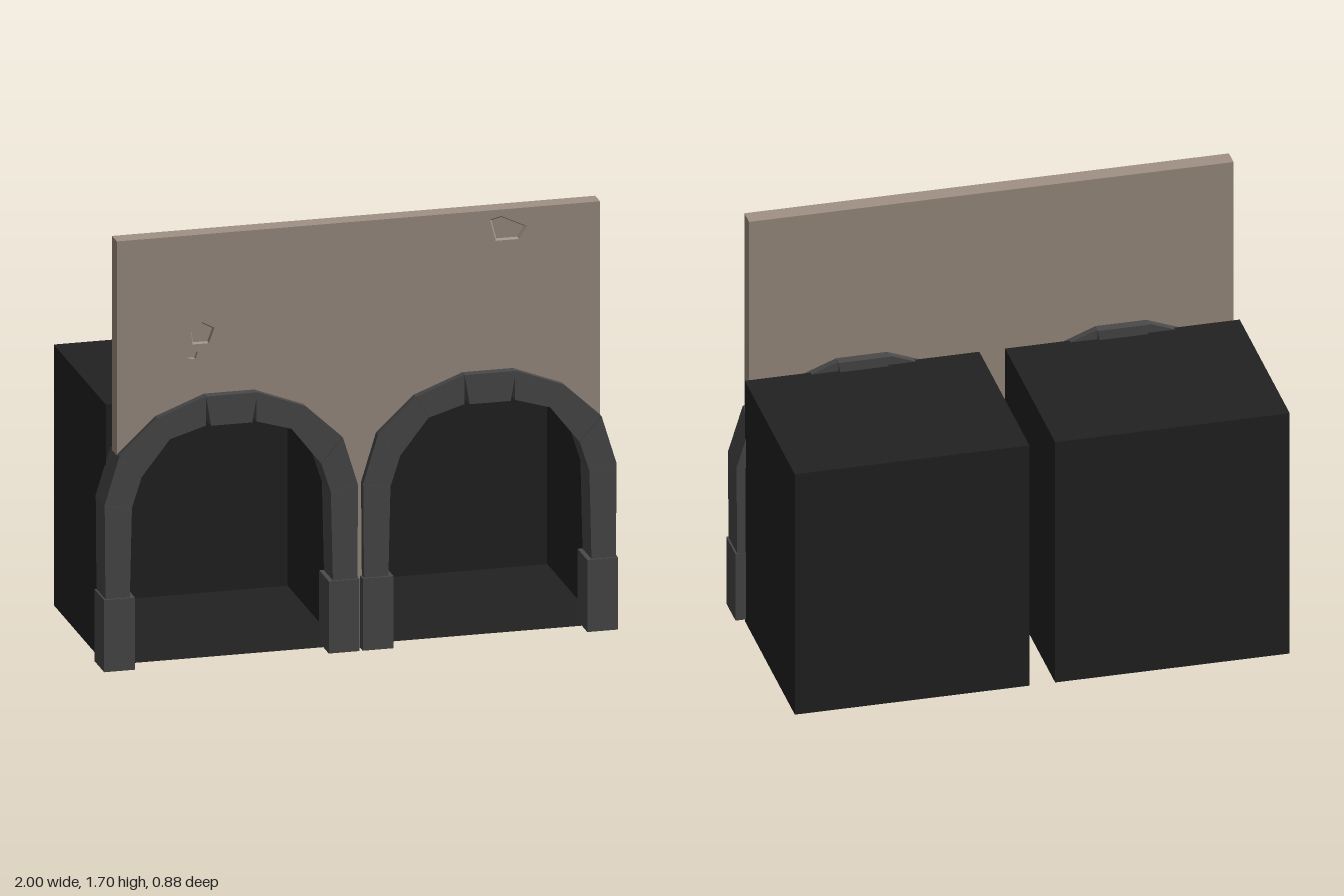
import * as THREE from 'three';

const wallMat = new THREE.MeshStandardMaterial({ name: 'plaster', color: 0xa09184, side: THREE.DoubleSide });
const stoneMat = new THREE.MeshStandardMaterial({ name: 'dark stone', color: 0x4a4a4a, side: THREE.DoubleSide });
const darkMat = new THREE.MeshStandardMaterial({ name: 'soot black', color: 0x222222, side: THREE.DoubleSide });

const CENTRE = 0.503; // arch centre distance from x = 0

function add(parent, name, geometry, material) {
  const mesh = new THREE.Mesh(geometry, material);
  mesh.name = name;
  parent.add(mesh);
  return mesh;
}

// box between two corners with one face left out (3 = bottom, 4 = front)
function openBox(min, max, face) {
  const size = max.map((v, i) => v - min[i]);
  const g = new THREE.BoxGeometry(...size);
  const index = Array.from(g.index.array);
  index.splice(face * 6, 6);
  g.setIndex(index);
  g.clearGroups();
  g.translate(...min.map((v, i) => v + size[i] / 2));
  return g;
}

// polygon in the xy plane extruded from z0 to z1
function prism(points, z0, z1, holes = []) {
  const shape = new THREE.Shape(points.map(p => new THREE.Vector2(...p)));
  for (const h of holes) shape.holes.push(new THREE.Path(h.map(p => new THREE.Vector2(...p))));
  const g = new THREE.ExtrudeGeometry(shape, { depth: z1 - z0, bevelEnabled: false });
  return g.translate(0, 0, z0);
}

// sloping rim from the wall face down to a chip's floor
function chipRim(points, z0, z1) {
  const cx = points.reduce((s, p) => s + p[0], 0) / points.length;
  const cy = points.reduce((s, p) => s + p[1], 0) / points.length;
  const inner = points.map(([x, y]) => [cx + (x - cx) * 0.87, cy + (y - cy) * 0.87]);
  const pos = [];
  points.forEach((a, i) => {
    const j = (i + 1) % points.length;
    const b = points[j], c = inner[j], d = inner[i];
    // corners run clockwise around the outline, so the slope faces forward
    pos.push(...a, z1, c, z0, b, z1, ...[]);
    pos.push(...a, z1, d, z0, c, z0);
  });
  const g = new THREE.BufferGeometry();
  g.setAttribute('position', new THREE.Float32BufferAttribute(pos.flat(), 3));
  g.computeVertexNormals();
  return g;
}

function buildArch(side) {
  const arch = new THREE.Group();
  arch.name = side > 0 ? 'leftArch' : 'rightArch';
  arch.position.x = side * CENTRE;

  // half outline of the ring: outer and inner points from the springing up
  const outer = [[0.493, 0.67], [0.435, 0.86], [0.288, 0.997], [0.098, 1.07]];
  const inner = [[0.387, 0.65], [0.35, 0.765], [0.235, 0.912], [0.098, 0.953]];
  const depths = [[0.30, 0.43], [0.315, 0.425], [0.30, 0.43]];

  for (const s of [1, -1]) {
    const m = ([x, y]) => [s * x, y];
    const xs = [s * 0.377, s * 0.497].sort((a, b) => a - b);
    add(arch, 'footStone', openBox([xs[0], 0.015, 0.30], [xs[1], 0.3, 0.44], 3), stoneMat);
    add(arch, 'pillarStone',
      prism([[0.395, 0.3], [0.49, 0.3], outer[0], inner[0]].map(m), 0.302, 0.432), stoneMat);
    depths.forEach(([z0, z1], i) => add(arch, 'archStone',
      prism([inner[i], outer[i], outer[i + 1], inner[i + 1]].map(m), z0, z1), stoneMat));
  }
  add(arch, 'keystone',
    prism([[-0.08, 0.953], [0.08, 0.953], [0.1, 1.07], [-0.1, 1.07]], 0.29, 0.437), stoneMat);
  // chamber behind the arch, open to the front
  add(arch, 'chamber', openBox([-0.455, 0, -0.44], [0.455, 1.03, 0.315], 4), darkMat)
    .position.x = side * 0.002;
  return arch;
}

function buildWall() {
  const wall = new THREE.Group();
  wall.name = 'wall';
  // right half of the outline: the top corner, over the arch, then down the middle pier
  const half = [[0.94, 1.7], [0.94, 0.78], [0.89, 0.84], [0.76, 0.955], [0.6, 1.01],
    [0.4, 1.01], [0.245, 0.955], [0.115, 0.81], [0.065, 0.65], [0.065, 0.02]];
  const outline = [...half, ...half.map(([x, y]) => [-x, y]).reverse()];
  const chips = [
    [[-0.609, 1.353], [-0.56, 1.327], [-0.582, 1.268], [-0.646, 1.268], [-0.651, 1.316]],
    [[-0.646, 1.246], [-0.625, 1.236], [-0.635, 1.209], [-0.662, 1.214], [-0.662, 1.23]],
    [[0.512, 1.663], [0.555, 1.674], [0.657, 1.626], [0.625, 1.578], [0.534, 1.578]],
  ];
  add(wall, 'wallSlab', prism(outline, 0.33, 0.388), wallMat);
  add(wall, 'wallFace', prism(outline, 0.388, 0.4, chips), wallMat);
  for (const c of chips) add(wall, 'chipRim', chipRim(c, 0.389, 0.4), wallMat);
  return wall;
}

export function createModel() {
  const model = new THREE.Group();
  model.name = 'archedWall';
  model.add(buildWall(), buildArch(1), buildArch(-1));
  return model;
}
